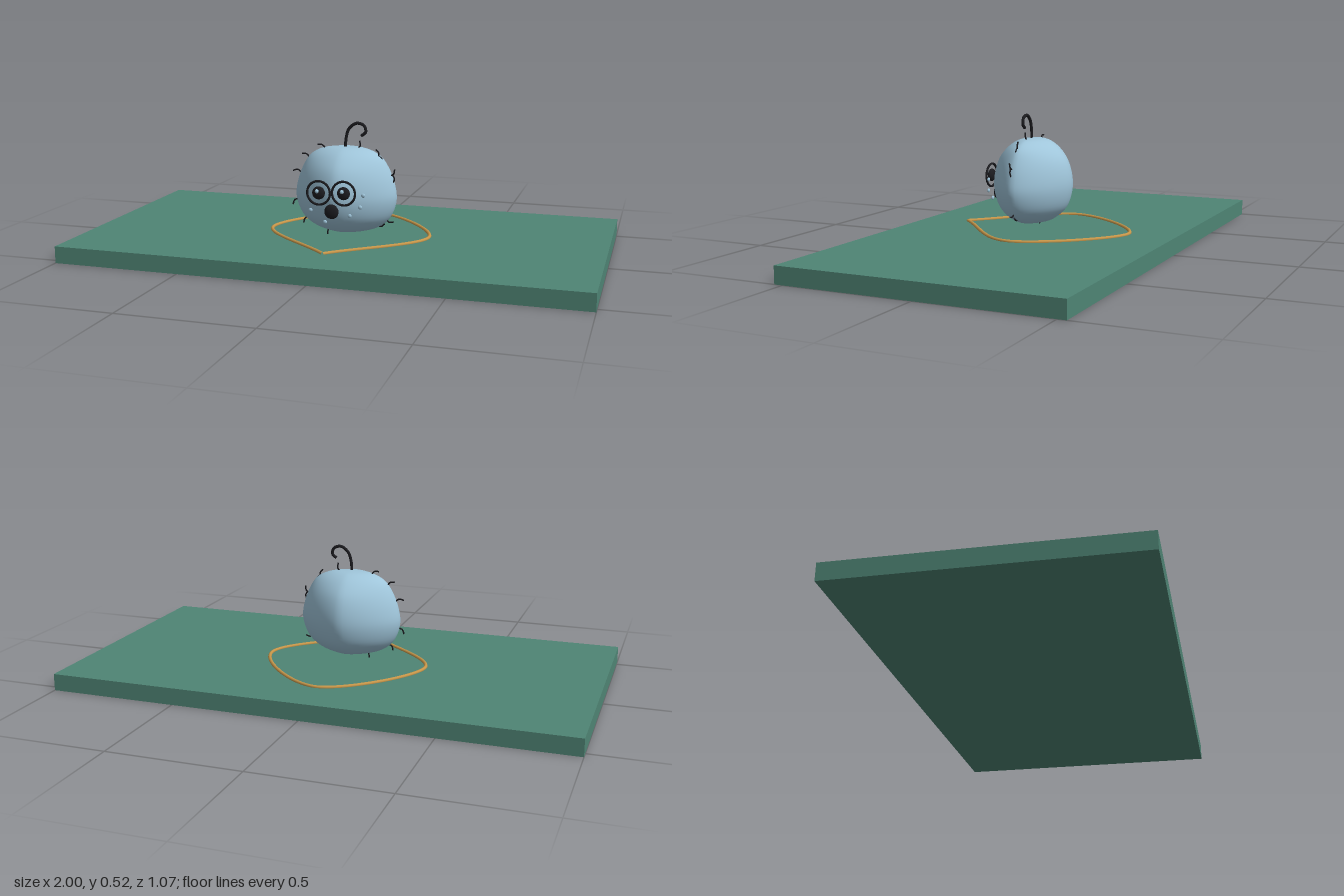
import * as THREE from 'three';
import { mergeVertices } from 'three/addons/utils/BufferGeometryUtils.js';

const V = (x, y, z) => new THREE.Vector3(x, y, z);

function material(name, color) {
  const m = new THREE.MeshStandardMaterial({ color });
  m.name = name;
  return m;
}

export function createModel() {
  const green = material('green base', 0x4f8575);
  const blue = material('pale blue', 0x9fc5da);
  const black = material('black', 0x1c1c20);
  const gold = material('gold', 0xc8974a);
  const model = new THREE.Group();
  model.name = 'roundCreature';

  function add(name, geometry, mat, x = 0, y = 0, z = 0, parent = model) {
    const mesh = new THREE.Mesh(geometry, mat);
    mesh.name = name;
    mesh.position.set(x, y, z);
    parent.add(mesh);
    return mesh;
  }
  const tube = (points, r, segments = 24) =>
    new THREE.TubeGeometry(new THREE.CatmullRomCurve3(points), segments, r, 8);

  // Base slab and the pointed ring lying on it
  add('base', new THREE.BoxGeometry(2, 0.065, 1.065), green, 0, 0.0325, 0);
  add('groundRing', tube([V(0, 0, 0.345), V(0.32, 0, 0), V(0, 0, -0.35), V(-0.32, 0, 0), V(0, 0, 0.345)], 0.007, 96),
    gold, 0, 0.067, 0);

  // Body: rounded-diamond slices; each point holds half width, height, half depth
  const profile = new THREE.CatmullRomCurve3([
    V(0, 0.42, 0), V(0.085, 0.412, 0.055), V(0.14, 0.385, 0.1), V(0.172, 0.34, 0.138),
    V(0.195, 0.28, 0.158), V(0.203, 0.22, 0.16), V(0.182, 0.155, 0.14),
    V(0.14, 0.113, 0.1), V(0.075, 0.09, 0.052), V(0, 0.085, 0),
  ]);
  const p = 1.5, centreZ = 0.05;
  const rows = 40, sphere = new THREE.SphereGeometry(1, 64, rows);
  sphere.deleteAttribute('normal');
  const pos = sphere.attributes.position, uv = sphere.attributes.uv;
  for (let i = 0; i < pos.count; i++) {
    const row = Math.floor(i / 65);
    const s = profile.getPoint(row / rows);
    const a = (i % 65) / 64 * Math.PI * 2;
    const cx = -Math.cos(a), cz = Math.sin(a);
    const r = Math.pow(Math.abs(cx) ** p + Math.abs(cz) ** p, -1 / p);
    pos.setXYZ(i, s.x * cx * r, s.y, s.z * cz * r);
  }
  sphere.deleteAttribute('uv');
  const bodyGeometry = mergeVertices(sphere, 1e-5);
  bodyGeometry.computeVertexNormals();
  add('body', bodyGeometry, blue, 0, 0, centreZ);

  // Eyes: dark rim, dark pupil and a small pale glint
  for (const [name, x, y] of [['rightEye', -0.058, 0.265], ['leftEye', 0.04, 0.268]]) {
    const eye = new THREE.Group();
    eye.name = name;
    eye.position.set(x, y, 0.214);
    model.add(eye);
    add('rim', new THREE.TorusGeometry(0.045, 0.0045, 10, 40), black, 0, 0, 0, eye);
    add('pupil', new THREE.SphereGeometry(0.025, 24, 16), black, 0, 0, 0, eye).scale.z = 0.5;
    add('glint', new THREE.SphereGeometry(0.008, 12, 8), blue, -0.003, 0.008, 0.011, eye);
  }

  // Open mouth
  add('mouth', new THREE.SphereGeometry(0.028, 24, 16), black, -0.008, 0.195, 0.212).scale.z = 0.4;

  // Cheek freckles
  for (const [x, y, z] of [[-0.1, 0.19, 0.185], [-0.035, 0.153, 0.208], [0.06, 0.18, 0.2],
    [0.1, 0.215, 0.197], [0.11, 0.26, 0.192]]) {
    add('freckle', new THREE.SphereGeometry(0.008, 12, 8), blue, x, y, z).scale.z = 0.6;
  }

  // Curled antenna
  add('antenna', tube([V(0, 0.405, 0), V(0.002, 0.45, 0), V(0.015, 0.49, 0), V(0.045, 0.511, 0),
    V(0.074, 0.502, 0), V(0.08, 0.478, 0), V(0.063, 0.463, 0)], 0.006, 40), black, 0, 0, 0.057);

  // Short bent hairs round the outline: root x, y, direction in degrees
  const hairs = [[-0.185, 0.31, 145], [-0.15, 0.37, 125], [-0.085, 0.41, 130], [0.05, 0.415, 50],
    [0.13, 0.385, 80], [0.145, 0.365, 95], [0.18, 0.315, 30], [0.19, 0.29, 70],
    [-0.197, 0.2, 200], [-0.155, 0.13, 205], [-0.06, 0.093, 215], [0.165, 0.14, 320], [0.13, 0.115, 350]];
  for (const [x, y, degrees] of hairs) {
    const a = degrees * Math.PI / 180, b = a + 0.5;
    add('hair', tube([V(-0.008 * Math.cos(a), -0.008 * Math.sin(a), 0),
      V(0.014 * Math.cos(a), 0.014 * Math.sin(a), 0.002),
      V(0.03 * Math.cos(b), 0.03 * Math.sin(b), 0.004)], 0.003, 8), black, x, y, 0.054);
  }
  return model;
}
